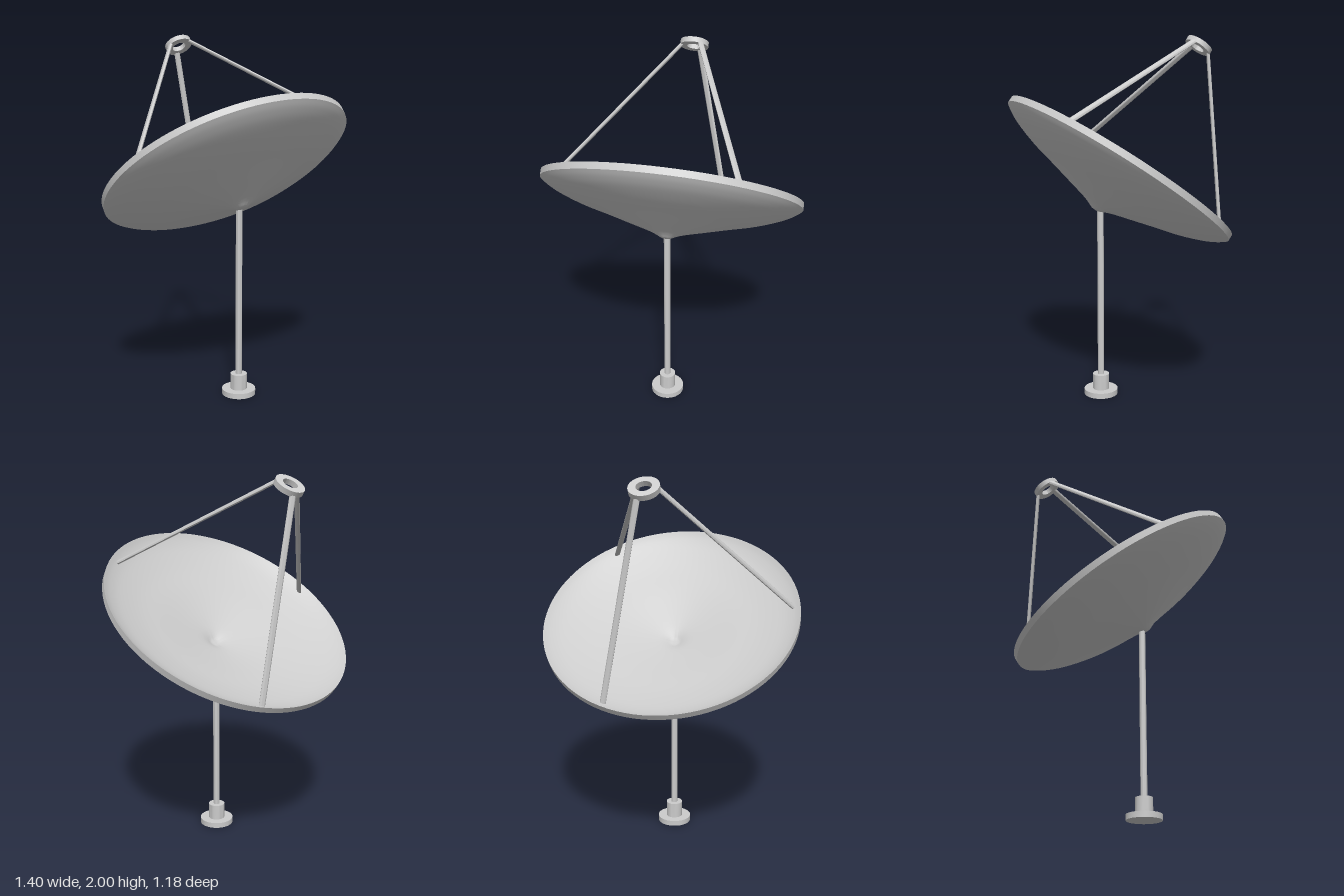
import * as THREE from 'three';
import { toCreasedNormals } from 'three/addons/utils/BufferGeometryUtils.js';

const material = new THREE.MeshStandardMaterial({ color: 0xcccccc });

function addMesh(parent, name, geometry) {
  const mesh = new THREE.Mesh(toCreasedNormals(geometry, 0.6), material);
  mesh.name = name;
  parent.add(mesh);
  return mesh;
}

// Elliptical bar from a to b, its wide side along the given direction
function addStrut(parent, name, a, b, wide) {
  const dir = b.clone().sub(a);
  const mesh = addMesh(parent, name, new THREE.CylinderGeometry(1, 1, dir.length(), 16).scale(0.01, 1, 0.017));
  dir.normalize();
  const thin = new THREE.Vector3().crossVectors(dir, wide).normalize();
  const side = new THREE.Vector3().crossVectors(thin, dir);
  mesh.quaternion.setFromRotationMatrix(new THREE.Matrix4().makeBasis(thin, dir, side));
  mesh.position.copy(a).add(b).multiplyScalar(0.5);
}

export function createModel() {
  const model = new THREE.Group();
  model.name = 'dishAntenna';

  // Upright mast: radius, bottom, top
  const mast = new THREE.Group();
  mast.name = 'mast';
  mast.position.z = 0.115;
  model.add(mast);
  for (const [name, r, y0, y1] of [
    ['baseFlange', 0.094, 0, 0.03],
    ['baseCollar', 0.046, 0.03, 0.116],
    ['post', 0.018, 0.116, 1.055],
  ]) {
    addMesh(mast, name, new THREE.CylinderGeometry(r, r, y1 - y0, 32)).position.y = (y0 + y1) / 2;
  }

  // Tilted assembly: local y is the dish axis, origin at the rim centre
  const head = new THREE.Group();
  head.name = 'dishAssembly';
  head.position.set(0, 1.275, -0.005);
  head.rotation.x = -0.599;
  model.add(head);

  // Reflector: one curve for the back, the same curve raised for the bowl
  const curve = new THREE.SplineCurve([
    [0, -0.267], [0.025, -0.264], [0.055, -0.25], [0.1, -0.234], [0.22, -0.202],
    [0.34, -0.17], [0.48, -0.134], [0.6, -0.092], [0.665, -0.06], [0.702, -0.034],
  ].map(([r, y]) => new THREE.Vector2(r, y)));
  const back = curve.getPoints(40);
  back[0].x = 0;
  const bowl = back.map((p) => new THREE.Vector2(p.x, p.y + 0.034)).reverse();
  addMesh(head, 'reflector', new THREE.LatheGeometry([...back, ...bowl], 96));

  // Feed ring at the focus
  const feed = new THREE.Vector3(0.017, 0.806, 0.004);
  const ringProfile = [[0.039, -0.014], [0.077, -0.014], [0.077, 0.014], [0.039, 0.014], [0.039, -0.014]];
  addMesh(head, 'feedRing', new THREE.LatheGeometry(ringProfile.map(([r, y]) => new THREE.Vector2(r, y)), 40))
    .position.copy(feed);

  // Three struts from the bowl to the ring
  [50, 170, 290].forEach((degrees, i) => {
    const a = THREE.MathUtils.degToRad(degrees);
    const out = new THREE.Vector3(Math.cos(a), 0, Math.sin(a));
    const foot = out.clone().multiplyScalar(0.665).setY(-0.03);
    const top = out.clone().multiplyScalar(0.066).add(feed);
    top.y -= 0.008;
    addStrut(head, `strut${i + 1}`, foot, top, new THREE.Vector3(-Math.sin(a), 0, Math.cos(a)));
  });

  return model;
}
